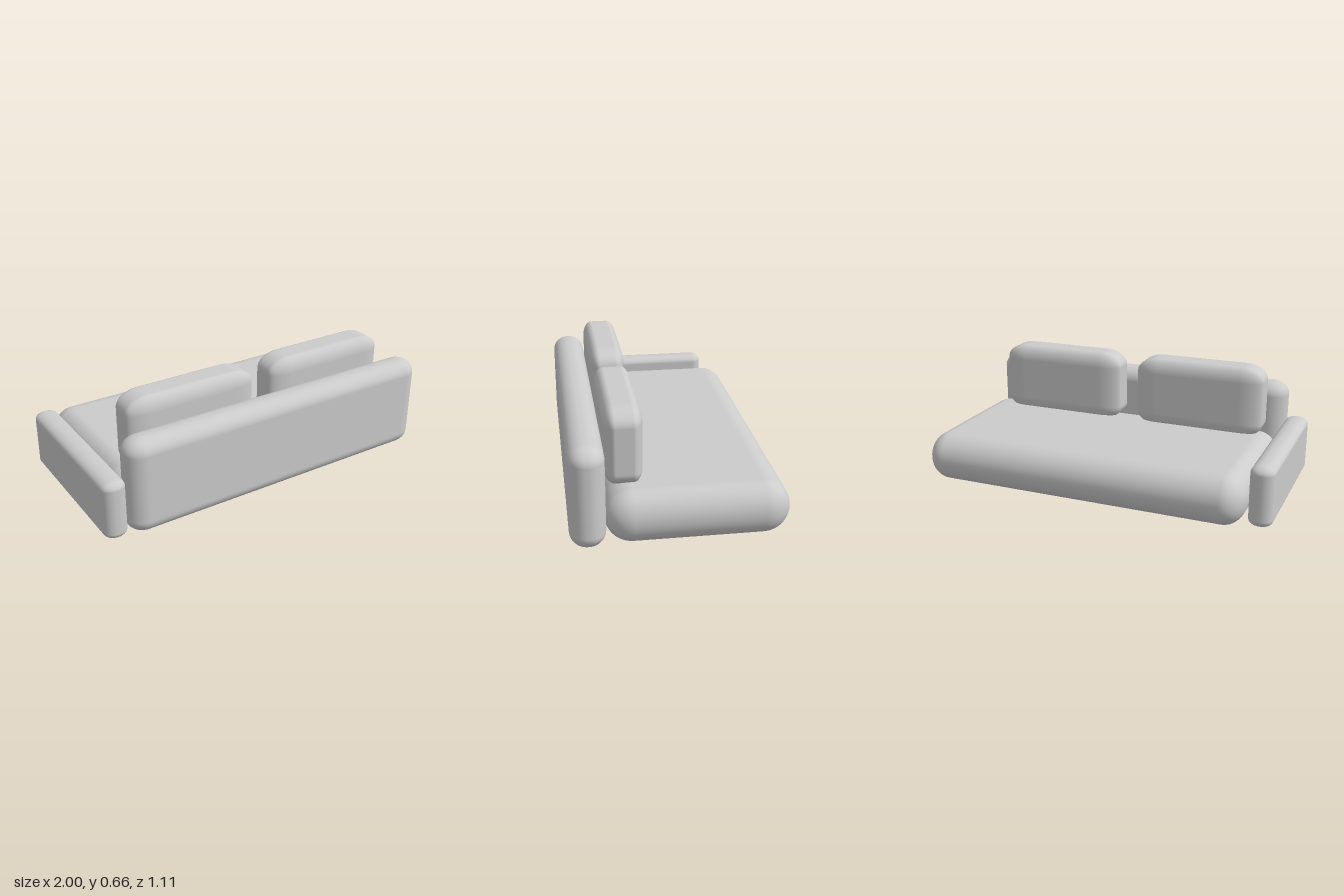
import * as THREE from 'three';
import { RoundedBoxGeometry } from 'three/addons/geometries/RoundedBoxGeometry.js';

const material = new THREE.MeshStandardMaterial({ color: 0xcccccc });

// Upholstered block between two corners, with its own rounding radius along each axis
function softBlock(name, min, max, radii) {
  const size = max.map((v, i) => v - min[i]);
  const [w, h, d] = size.map((s, i) => s / radii[i]);
  const geometry = new RoundedBoxGeometry(w, h, d, 8, 1);
  geometry.scale(...radii);
  const mesh = new THREE.Mesh(geometry, material);
  mesh.name = name;
  mesh.position.set(...min.map((v, i) => (v + max[i]) / 2));
  return mesh;
}

export function createModel() {
  const sofa = new THREE.Group();
  sofa.name = 'sofa';

  // Deep seat with almost fully rounded sides
  sofa.add(softBlock('seat', [-0.87, 0.005, -0.555], [1, 0.285, 0.38], [0.12, 0.138, 0.14]));

  // Long low backrest
  sofa.add(softBlock('backrest', [-0.875, 0.003, 0.372], [1, 0.54, 0.556], [0.1, 0.08, 0.088]));

  // Single slim armrest
  sofa.add(softBlock('armrest', [-1, 0.003, -0.43], [-0.868, 0.335, 0.51], [0.062, 0.04, 0.055]));

  // Two loose cushions leaning on the backrest
  [[-0.78, 'rightCushion'], [0.09, 'leftCushion']].forEach(([x, name]) => {
    sofa.add(softBlock(name, [x, 0.255, 0.17], [x + 0.76, 0.668, 0.37], [0.13, 0.085, 0.055]));
  });

  return sofa;
}
